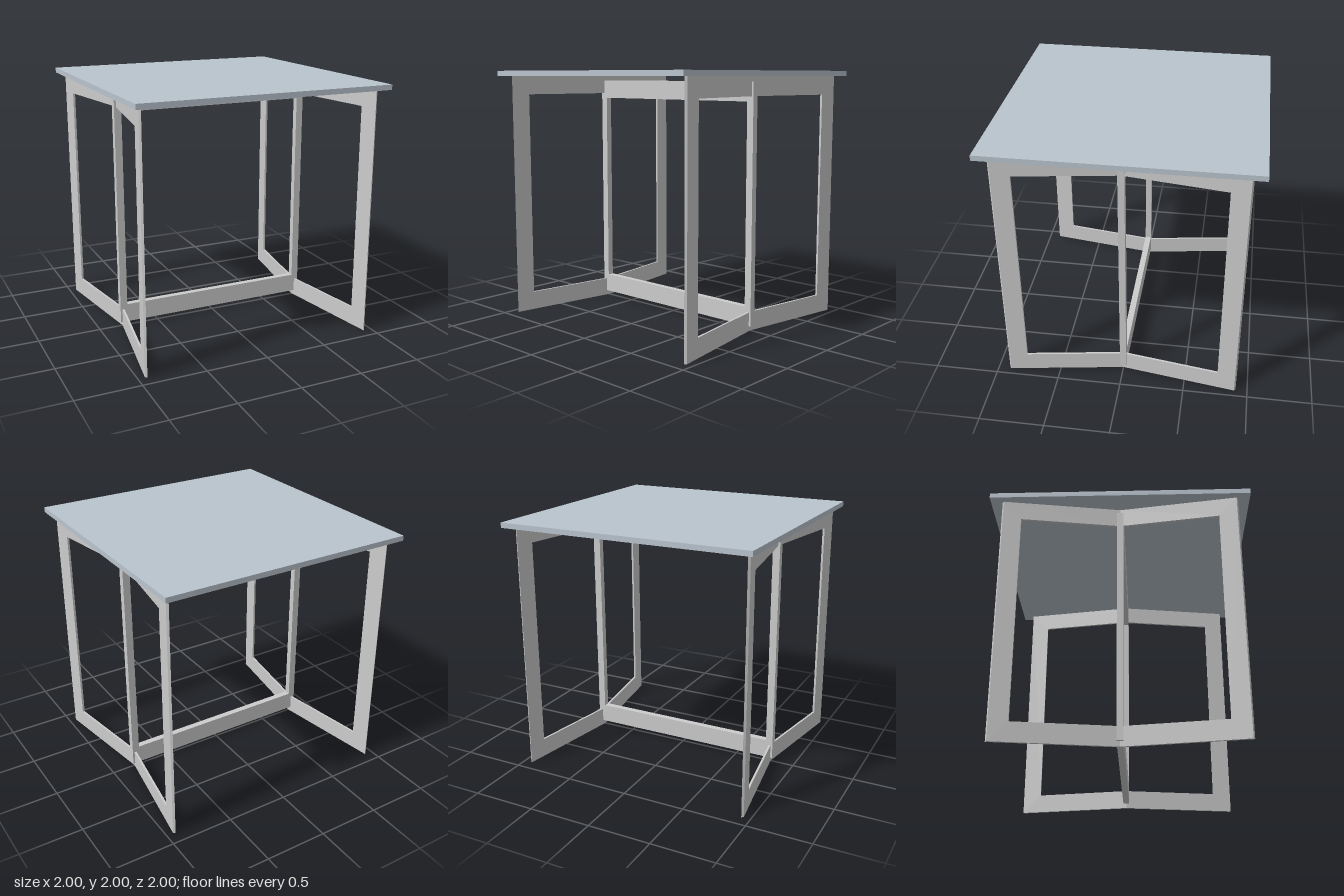
import * as THREE from 'three';

const grey = new THREE.MeshStandardMaterial({ color: 0xcccccc, flatShading: true });
const topMaterial = new THREE.MeshStandardMaterial({ color: 0xbac4ce, flatShading: true });

const REACH = 0.91;       // depth of each leg wing from the centre line
const RAIL = 0.15;        // width of rails and posts
const WING_TOP = 1.96;
const THICK = 0.017;
const INNER_X = 0.79;     // where the two wings meet
const SPLAY = 0.14 / REACH;

function box(name, w, h, d, x, y, z, material = grey) {
  const mesh = new THREE.Mesh(new THREE.BoxGeometry(w, h, d), material);
  mesh.name = name;
  mesh.position.set(x, y, z);
  return mesh;
}

// C-shaped panel running from the centre line to the front (1) or back (-1), splayed outward
function legWing(dir) {
  const outline = [
    [0, 0], [REACH, 0], [REACH, WING_TOP], [0, WING_TOP],
    [0, WING_TOP - RAIL], [REACH - RAIL, WING_TOP - RAIL], [REACH - RAIL, RAIL], [0, RAIL],
  ];
  const shape = new THREE.Shape(outline.map(([z, y]) => new THREE.Vector2(z * dir, y)));
  const geometry = new THREE.ExtrudeGeometry(shape, { depth: THICK, bevelEnabled: false });
  geometry.rotateY(-Math.PI / 2);
  geometry.translate(THICK, 0, 0);
  const p = geometry.attributes.position;
  for (let i = 0; i < p.count; i++) {
    const x = p.getX(i);
    let z = p.getZ(i);
    // slanted cut on the free end
    if (Math.abs(z) > REACH - 0.01 && x > THICK / 2) z -= 0.012 * dir;
    p.setXYZ(i, INNER_X + x + SPLAY * Math.abs(z), p.getY(i), z);
  }
  geometry.computeVertexNormals();
  const mesh = new THREE.Mesh(geometry, grey);
  mesh.name = dir > 0 ? 'frontLegWing' : 'backLegWing';
  return mesh;
}

export function createModel() {
  const table = new THREE.Group();
  table.name = 'table';

  table.add(box('tabletop', 2, 0.04, 2, 0, 1.98, 0, topMaterial));

  // V-shaped leg frames with the centre post at the joint
  for (const side of ['left', 'right']) {
    const frame = new THREE.Group();
    frame.name = side + 'LegFrame';
    frame.add(legWing(1), legWing(-1));
    frame.add(box('centrePost', 0.058, 1.88, 0.05, 0.798, 0.98, 0));
    if (side === 'right') frame.rotation.y = Math.PI;
    table.add(frame);
  }

  // Long rails joining the two centre posts
  table.add(box('upperCrossRail', 1.54, 0.15, 0.05, 0, 1.845, 0));
  table.add(box('lowerCrossRail', 1.54, 0.15, 0.05, 0, 0.115, 0));

  return table;
}
